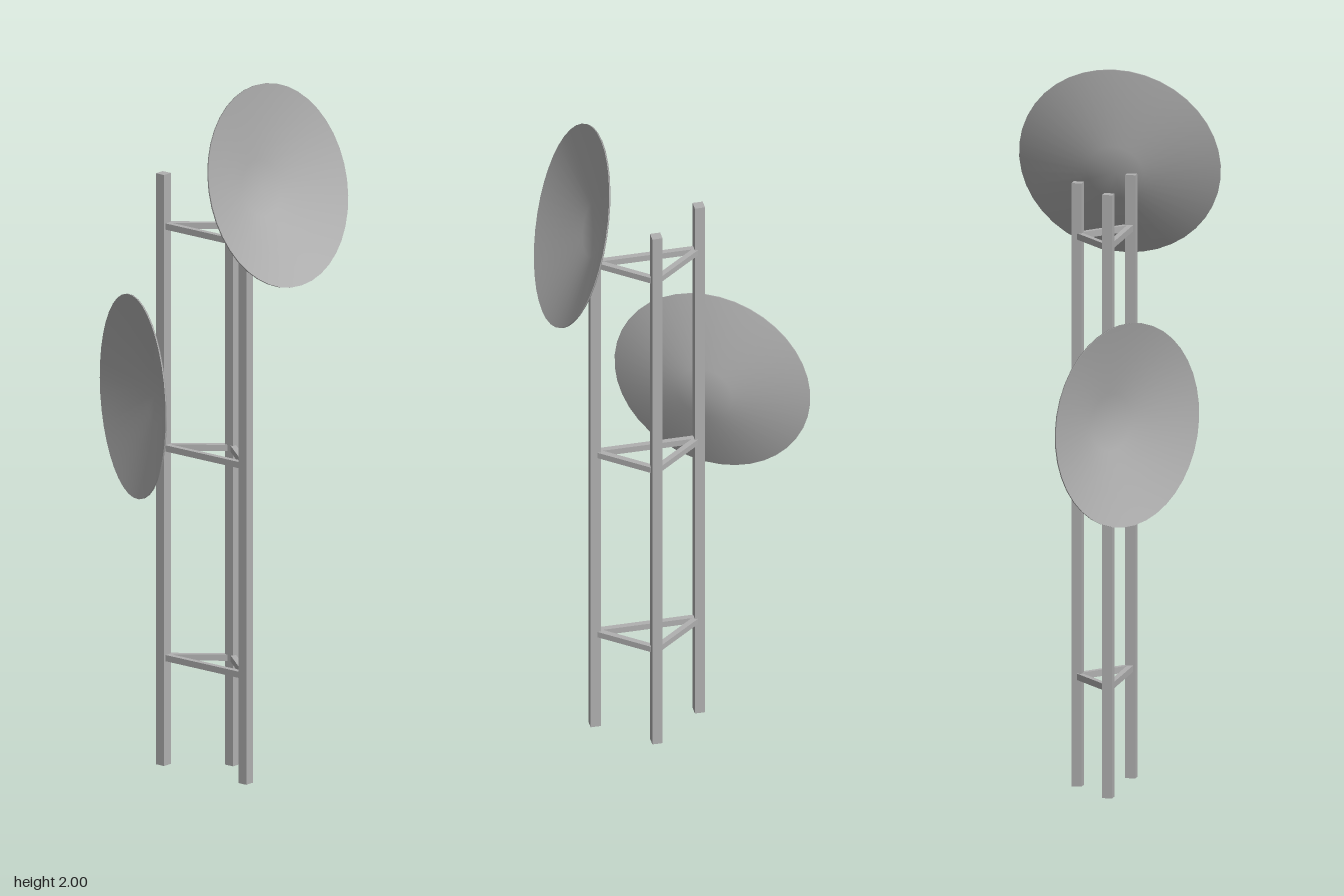
import * as THREE from 'three';

const UP = new THREE.Vector3(0, 1, 0);

export function createModel() {
  const model = new THREE.Group();
  model.name = 'antennaMast';
  const steel = new THREE.MeshStandardMaterial({ color: 0xb0b0b0 });
  steel.name = 'grey steel';

  const add = (parent, geometry, name) => {
    const mesh = new THREE.Mesh(geometry, steel);
    mesh.name = name;
    parent.add(mesh);
    return mesh;
  };

  // Three square posts on a triangular plan
  const height = 1.705;
  const posts = [[-0.08, 0.049], [0.069, -0.071], [0.217, 0.049]];
  posts.forEach(([x, z]) => {
    add(model, new THREE.BoxGeometry(0.029, height, 0.029), 'post').position.set(x, height / 2, z);
  });

  // Three levels of braces joining the posts
  for (const y of [0.31, 0.915, 1.555]) {
    posts.forEach(([x, z], i) => {
      const [x2, z2] = posts[(i + 1) % 3];
      const length = Math.hypot(x2 - x, z2 - z);
      const brace = add(model, new THREE.BoxGeometry(length, 0.018, 0.016), 'brace');
      brace.position.set((x + x2) / 2, y, (z + z2) / 2);
      brace.rotation.y = -Math.atan2(z2 - z, x2 - x);
    });
  }

  // Shallow dish opening along its local +y, with thin walls
  const profile = (points) => points.map(([r, y]) => new THREE.Vector2(r, y));
  const outer = profile([[0, -0.071], [0.08, -0.071], [0.286, -0.004], [0.286, 0]]);
  const inner = profile([[0.286, 0], [0.08, -0.064], [0, -0.064]]);
  const addDish = (name, position, facing) => {
    const dish = new THREE.Group();
    dish.name = name;
    add(dish, new THREE.LatheGeometry(outer, 40), 'dishBack');
    add(dish, new THREE.LatheGeometry(inner, 40), 'dishBowl');
    dish.position.set(...position);
    dish.quaternion.setFromUnitVectors(UP, new THREE.Vector3(...facing).normalize());
    model.add(dish);
  };
  addDish('upperDish', [0.294, 1.727, 0], [0.956, 0.295, 0]);
  addDish('lowerDish', [-0.135, 1.065, 0.116], [-0.524, 0.02, 0.852]);

  return model;
}
